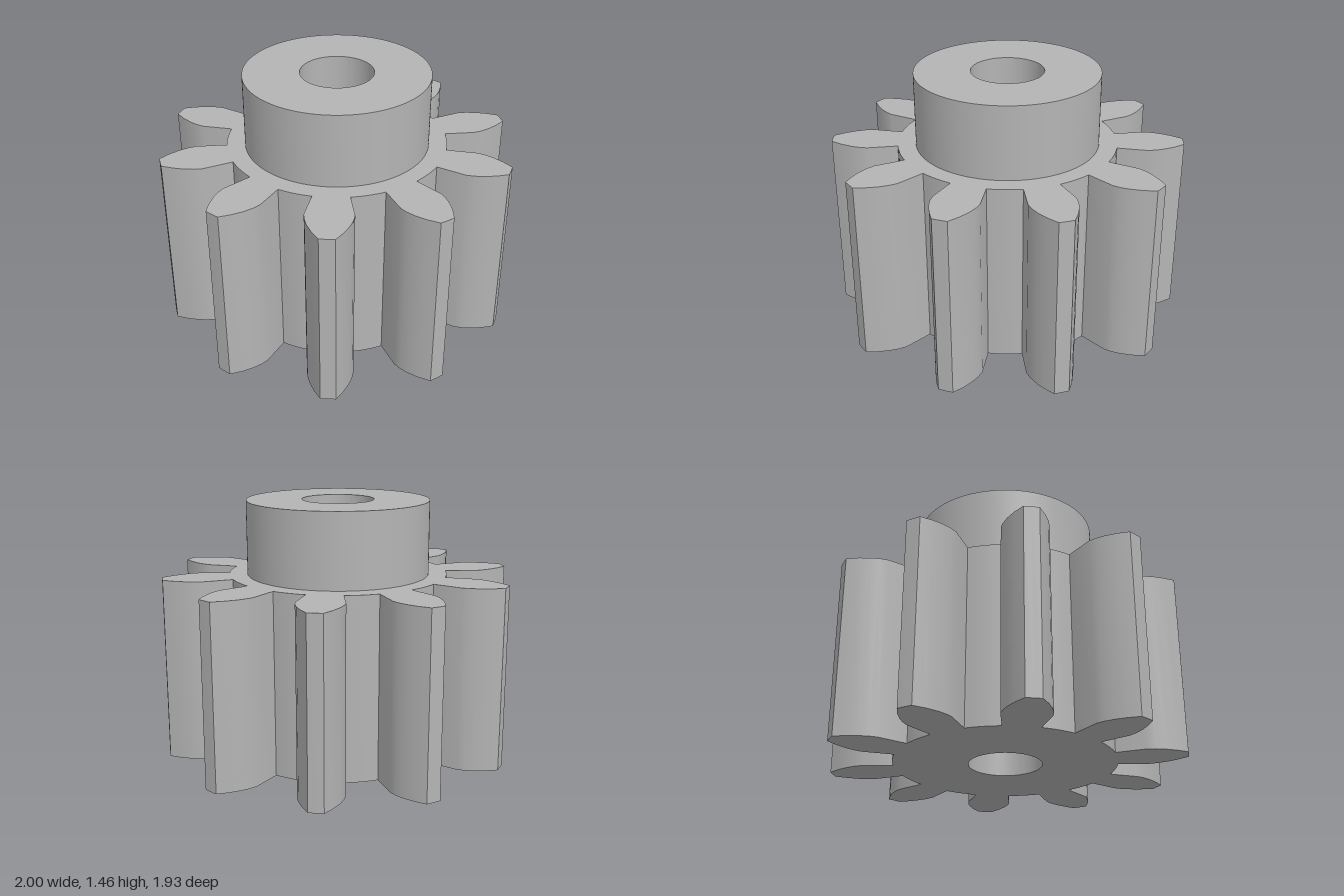
import * as THREE from 'three';
import { toCreasedNormals } from 'three/addons/utils/BufferGeometryUtils.js';

const TEETH = 10;
const ROOT_RADIUS = 0.623;
const BORE_RADIUS = 0.205;
const HUB_RADIUS = 0.52;
const GEAR_HEIGHT = 1.04;
const TOTAL_HEIGHT = 1.46;

// One tooth flank, root to tip: distance along the tooth, half width
const FLANK = [
  [0.615, 0.1], [0.785, 0.129], [0.83, 0.123], [0.88, 0.108], [0.94, 0.08], [0.999, 0.042],
];

// Outline of the toothed wheel, counter-clockwise
function gearShape() {
  const points = [];
  const step = (Math.PI * 2) / TEETH;
  const rootAngle = Math.atan2(FLANK[0][1], FLANK[0][0]);
  const tooth = [
    ...FLANK.map(([r, w]) => new THREE.Vector2(r, -w)),
    new THREE.Vector2(1, 0),
    ...FLANK.map(([r, w]) => new THREE.Vector2(r, w)).reverse(),
  ];
  const origin = new THREE.Vector2();
  for (let i = 0; i < TEETH; i++) {
    tooth.forEach((p) => points.push(p.clone().rotateAround(origin, i * step)));
    // Root arc to the next tooth
    for (let k = 1; k < 5; k++) {
      const a = i * step + rootAngle + ((step - 2 * rootAngle) * k) / 5;
      points.push(new THREE.Vector2(Math.cos(a), Math.sin(a)).multiplyScalar(ROOT_RADIUS));
    }
  }
  return new THREE.Shape(points);
}

function hubShape() {
  return new THREE.Shape().absarc(0, 0, HUB_RADIUS, 0, Math.PI * 2, false);
}

// Extrude a bored outline upwards from y = bottom to y = top
function boredPart(name, shape, bottom, top, material) {
  shape.holes.push(new THREE.Path().absarc(0, 0, BORE_RADIUS, 0, Math.PI * 2, true));
  const solid = new THREE.ExtrudeGeometry(shape, {
    depth: top - bottom, bevelEnabled: false, curveSegments: 72,
  });
  solid.rotateX(-Math.PI / 2);
  solid.translate(0, bottom, 0);
  const mesh = new THREE.Mesh(toCreasedNormals(solid, 0.4), material);
  mesh.name = name;
  return mesh;
}

export function createModel() {
  const steel = new THREE.MeshStandardMaterial({ color: 0xb4b4b4 });
  steel.name = 'steel grey';
  const group = new THREE.Group();
  group.name = 'spurGear';
  group.add(
    boredPart('toothedWheel', gearShape(), 0, GEAR_HEIGHT, steel),
    boredPart('hub', hubShape(), GEAR_HEIGHT, TOTAL_HEIGHT, steel),
  );
  return group;
}
